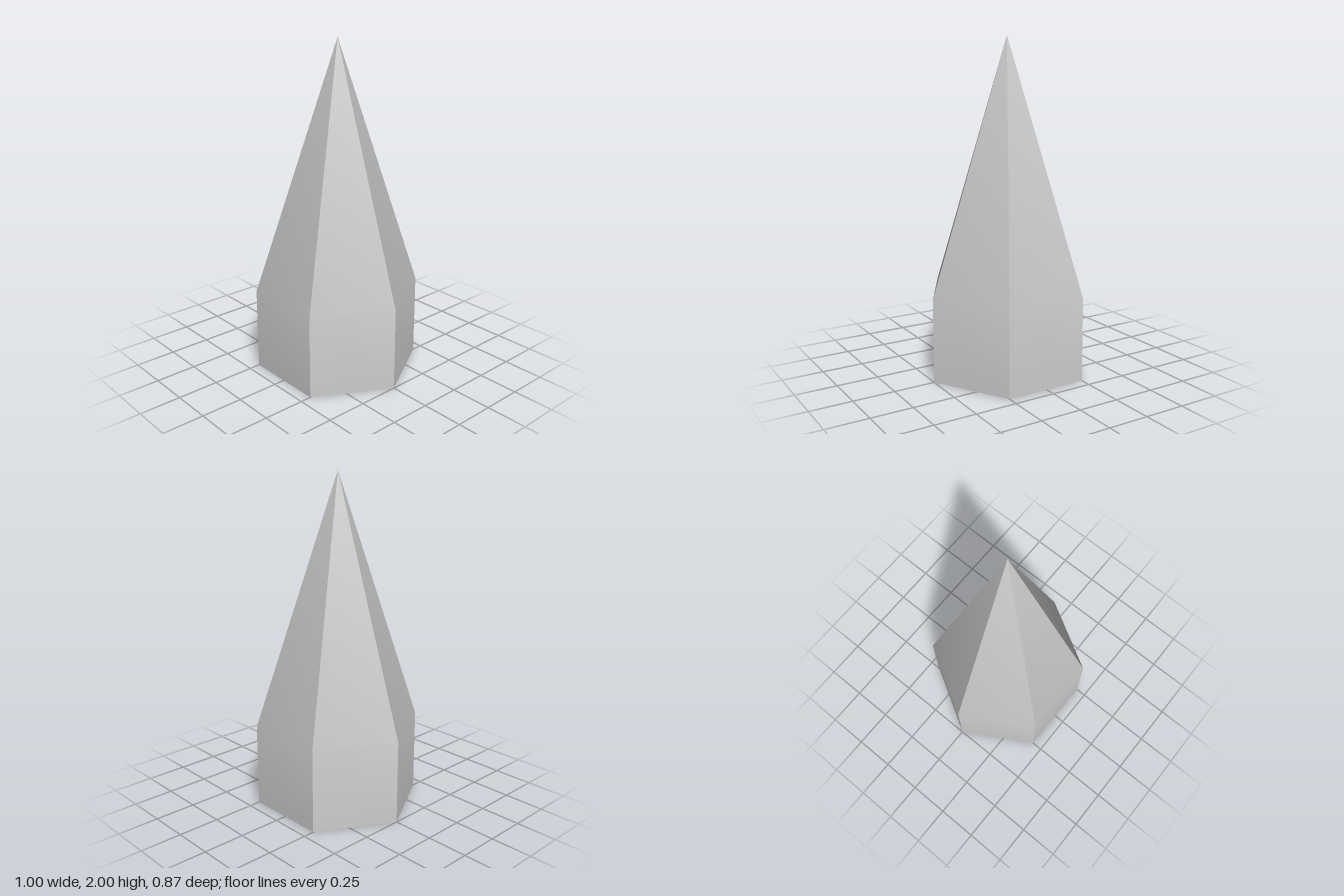
import * as THREE from 'three';
import { toCreasedNormals } from 'three/addons/utils/BufferGeometryUtils.js';

const SIDES = 6, RADIUS = 0.5, SHOULDER = 0.5, HEIGHT = 2;

export function createModel() {
  const group = new THREE.Group();
  group.name = 'hexagonalSpire';

  // Closed base, upright walls, then a straight taper to the tip
  const profile = [[0, 0], [RADIUS, 0], [RADIUS, SHOULDER], [0, HEIGHT]]
    .map(([r, y]) => new THREE.Vector2(r, y));

  // Start on the x axis, so flat sides face front and back
  const lathe = new THREE.LatheGeometry(profile, SIDES, Math.PI / 2);

  // Sharp between the six sides, soft where the walls turn into the taper
  const geometry = toCreasedNormals(lathe, Math.PI / 6);

  const crystal = new THREE.Mesh(geometry, new THREE.MeshStandardMaterial({ color: 0xcccccc }));
  crystal.name = 'crystalBody';
  group.add(crystal);
  return group;
}
